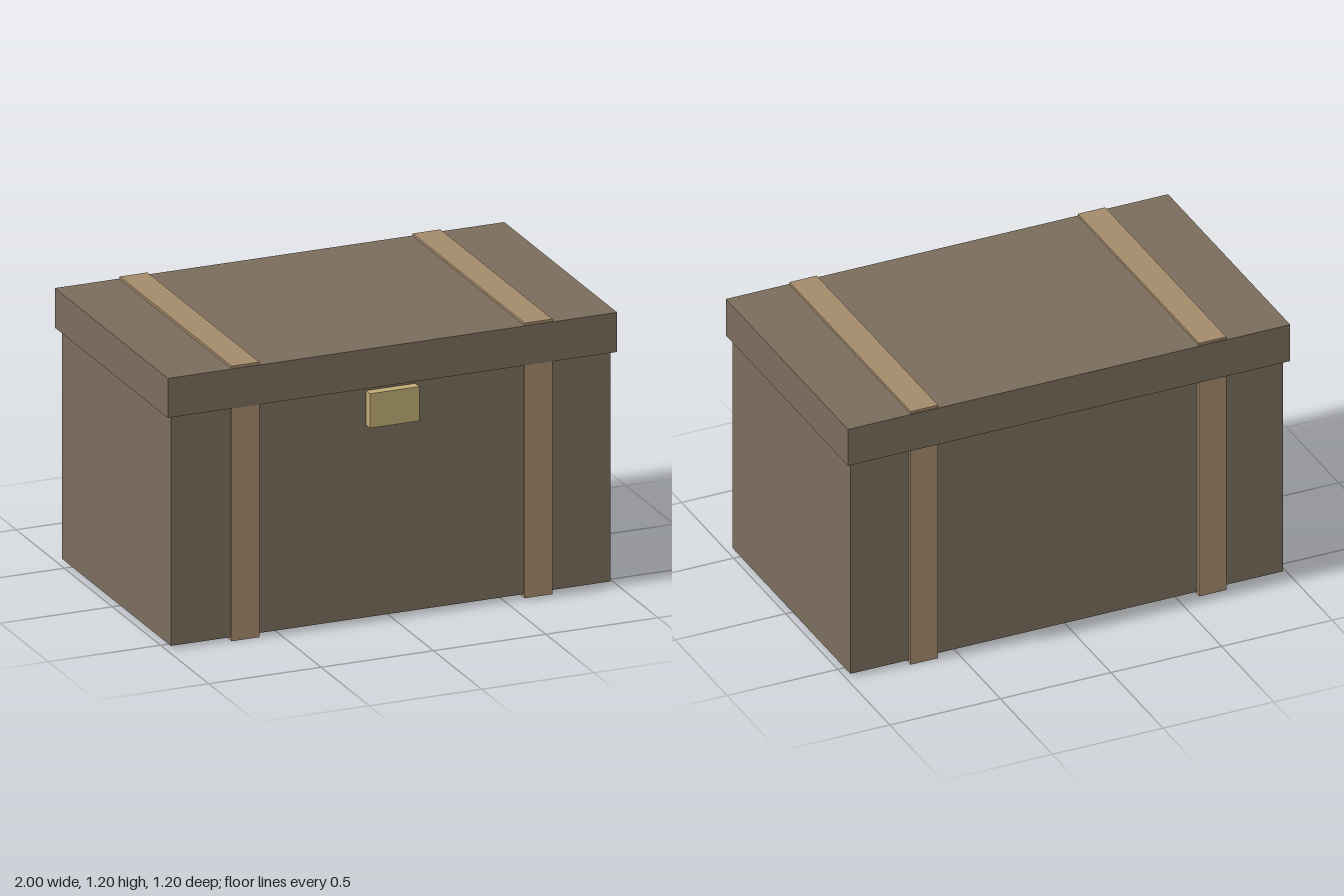
import * as THREE from 'three';

const wood = new THREE.MeshStandardMaterial({ color: 0x7a6c5c });
const strapWood = new THREE.MeshStandardMaterial({ color: 0xa38a6a });
const brass = new THREE.MeshStandardMaterial({ color: 0xbfab75 });

// Box given by its lower and upper corners
function block(name, material, min, max) {
  const size = max.map((v, i) => v - min[i]);
  const mesh = new THREE.Mesh(new THREE.BoxGeometry(...size), material);
  mesh.position.set(...max.map((v, i) => (v + min[i]) / 2));
  mesh.name = name;
  return mesh;
}

export function createModel() {
  const chest = new THREE.Group();
  chest.name = 'chest';

  // Body and overhanging lid
  chest.add(block('body', wood, [-0.978, 0.013, -0.575], [0.978, 1.015, 0.557]));
  chest.add(block('lid', wood, [-1, 1.015, -0.598], [1, 1.187, 0.575]));

  // Straps wrapping all the way round, showing above the lid and below the body
  for (const [name, x] of [['leftStrap', 0.652], ['rightStrap', -0.652]]) {
    chest.add(block(name, strapWood, [x - 0.062, 0, -0.593], [x + 0.062, 1.198, 0.571]));
  }

  // Latch plate under the lid
  chest.add(block('latch', brass, [-0.11, 0.85, 0.54], [0.11, 1.0, 0.598]));

  return chest;
}
